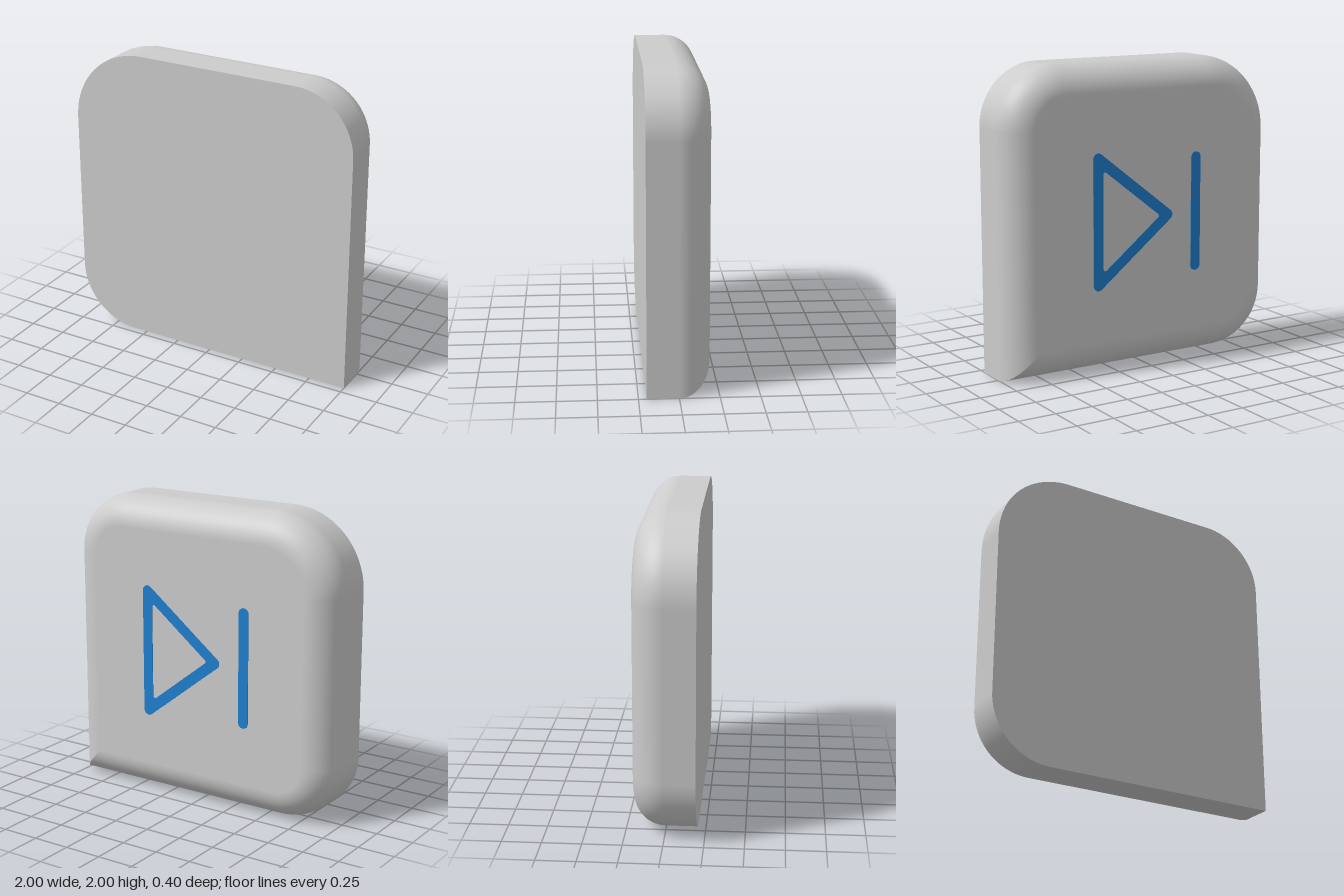
import * as THREE from 'three';

const HALF_DEPTH = 0.2, FILLET = 0.2;

// Slab corners counter-clockwise from bottom right: x, y, radius
const CORNERS = [[1, 0, 0], [1, 2, 0.4], [-1, 2, 0.5], [-1, 0, 0.4]];

// Outline points with outward directions, drawn in by the given inset
function outline(inset) {
  const points = [];
  CORNERS.forEach(([x, y, r], k) => {
    const sx = Math.sign(x), sy = y > 0 ? 1 : -1;
    const radius = Math.max(r - inset, 0);
    const cx = x - sx * Math.max(r, inset), cy = y - sy * Math.max(r, inset);
    const steps = r > 0 ? 20 : 1;
    for (let i = 0; i <= steps; i++) {
      const a = (k - 1 + i / steps) * Math.PI / 2;
      const nx = Math.cos(a), ny = Math.sin(a);
      points.push({ x: cx + radius * nx, y: cy + radius * ny, nx, ny });
    }
  });
  return points;
}

// Slab: flat front, straight walls, rounded rear edge, flat rear
function slabGeometry() {
  const position = [], normal = [], index = [];
  const addRing = (inset, z, out, nz, collapsed = false) => {
    for (const p of outline(inset)) {
      position.push(collapsed ? 0 : p.x, collapsed ? 1 : p.y, z);
      normal.push(p.nx * out, p.ny * out, nz);
    }
  };
  addRing(0, HALF_DEPTH, 0, 1, true);
  addRing(0, HALF_DEPTH, 0, 1);
  addRing(0, HALF_DEPTH, 1, 0);
  const steps = 14;
  for (let i = 0; i <= steps; i++) {
    const t = i / steps * Math.PI / 2, c = Math.cos(t), s = Math.sin(t);
    addRing(FILLET * (1 - c), FILLET - HALF_DEPTH - FILLET * s, c, -s);
  }
  addRing(FILLET, -HALF_DEPTH, 0, -1, true);

  const n = outline(0).length, rings = position.length / 3 / n;
  for (let j = 0; j < rings - 1; j++) {
    for (let i = 0; i < n; i++) {
      const a = j * n + i, b = j * n + (i + 1) % n;
      index.push(a, a + n, b, b, a + n, b + n);
    }
  }
  const g = new THREE.BufferGeometry();
  g.setAttribute('position', new THREE.Float32BufferAttribute(position, 3));
  g.setAttribute('normal', new THREE.Float32BufferAttribute(normal, 3));
  g.setIndex(index);
  return g;
}

// Rounded outline around a convex counter-clockwise list of centres
function roundedPath(path, centres, r) {
  const n = centres.length;
  const edgeAngle = (p, q) => Math.atan2(q[1] - p[1], q[0] - p[0]) - Math.PI / 2;
  centres.forEach((c, i) => {
    const from = edgeAngle(centres[(i + n - 1) % n], c);
    const to = edgeAngle(c, centres[(i + 1) % n]);
    path.absarc(c[0], c[1], r, from, to, false);
  });
  path.closePath();
  return path;
}

export function createModel() {
  const model = new THREE.Group();
  const grey = new THREE.MeshStandardMaterial({ color: 0xcccccc });
  grey.name = 'light grey';
  const blue = new THREE.MeshStandardMaterial({ color: 0x1e7fd0 });
  blue.name = 'blue';

  const slab = new THREE.Mesh(slabGeometry(), grey);
  slab.name = 'slab';
  model.add(slab);

  // Thin symbol plates on the rear face
  const addPlate = (name, shape) => {
    const g = new THREE.ExtrudeGeometry(shape, { depth: 0.005, bevelEnabled: false, curveSegments: 10 });
    const plate = new THREE.Mesh(g, blue);
    plate.name = name;
    plate.position.set(0, 0.99, -HALF_DEPTH - 0.004);
    model.add(plate);
  };

  // Triangle ring: the hole is the same triangle shrunk about its incentre
  const stroke = 0.036, incentre = 0.175;
  const triangle = [[0.375, -0.41], [0.375, 0.41], [-0.15, 0]];
  const inner = triangle.map(([x, y]) => [incentre + (x - incentre) * 0.745, y * 0.745]);
  const ring = roundedPath(new THREE.Shape(), triangle, stroke);
  ring.holes.push(roundedPath(new THREE.Path(), inner, 0.015));
  addPlate('triangleSymbol', ring);

  // Upright bar beside the triangle
  addPlate('barSymbol', roundedPath(new THREE.Shape(), [[-0.37, -0.363], [-0.37, 0.363]], stroke));

  return model;
}
